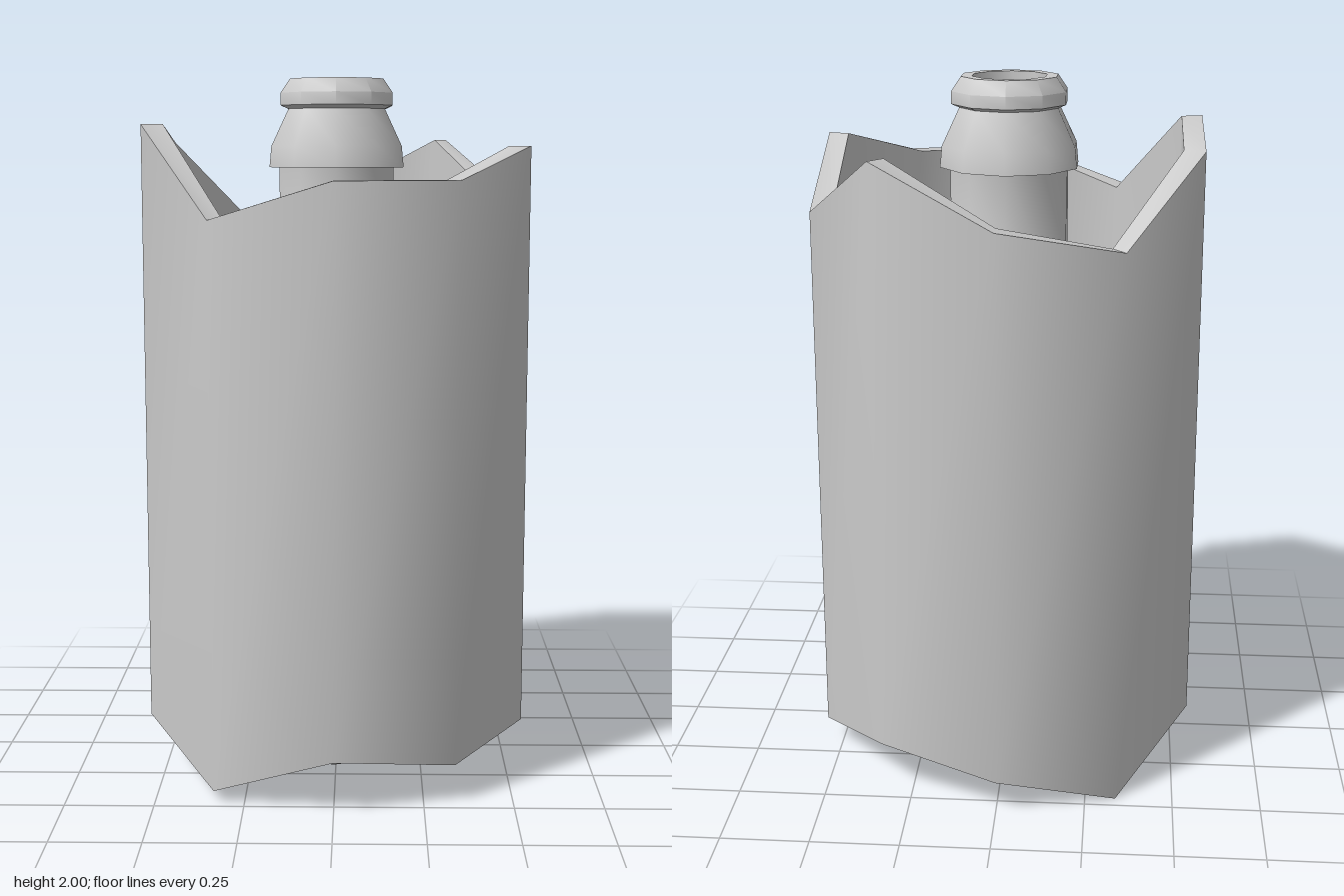
import * as THREE from 'three';
import { toCreasedNormals } from 'three/addons/utils/BufferGeometryUtils.js';

const SIDES = 10;
const CREASE = 0.75; // keeps the ten sides smooth, rims sharp

function makeMesh(name, geometry) {
  const mesh = new THREE.Mesh(
    toCreasedNormals(geometry, CREASE),
    new THREE.MeshStandardMaterial({ color: 0xcccccc, side: THREE.DoubleSide })
  );
  mesh.name = name;
  return mesh;
}

function lathe(name, profile) {
  const points = profile.map(([r, y]) => new THREE.Vector2(r, y));
  return makeMesh(name, new THREE.LatheGeometry(points, SIDES));
}

// Thick ten-sided sleeve with torn upper and lower edges
function tornSleeve() {
  const top = [1.72, 1.72, 1.81, 1.64, 1.83, 1.67, 1.6, 1.82, 1.87, 1.615];
  const bottom = [0.155, 0.11, 0.145, 0.075, 0.15, 0.1, 0, 0.155, 0.155, 0.03];
  const rings = [[0.573, bottom], [0.573, top], [0.51, top], [0.51, bottom]];
  const positions = [];
  const index = [];
  for (const [radius, heights] of rings) {
    for (let i = 0; i < SIDES; i++) {
      const a = (i / SIDES) * Math.PI * 2;
      positions.push(radius * Math.sin(a), heights[i], radius * Math.cos(a));
    }
  }
  for (let ring = 0; ring < 4; ring++) {
    const next = (ring + 1) % 4;
    for (let i = 0; i < SIDES; i++) {
      const j = (i + 1) % SIDES;
      const a = ring * SIDES + i, b = ring * SIDES + j;
      const c = next * SIDES + j, d = next * SIDES + i;
      index.push(a, b, c, a, c, d);
    }
  }
  const geometry = new THREE.BufferGeometry();
  geometry.setAttribute('position', new THREE.Float32BufferAttribute(positions, 3));
  geometry.setIndex(index);
  return makeMesh('tornSleeve', geometry);
}

export function createModel() {
  const group = new THREE.Group();
  group.name = 'wrappedBottle';

  // Body, sloping shoulder and neck
  group.add(lathe('bottleBody', [
    [0, 0.135], [0.53, 0.135], [0.555, 0.155], [0.555, 0.95], [0.51, 1.1],
    [0.42, 1.22], [0.28, 1.34], [0.2, 1.42], [0.172, 1.5], [0.172, 1.76],
  ]));

  // Flared collar, rounded lip and hollow mouth
  group.add(lathe('collarAndMouth', [
    [0.165, 1.75], [0.202, 1.75], [0.196, 1.81], [0.145, 1.915],
    [0.168, 1.925], [0.168, 1.96], [0.14, 2], [0.108, 2],
    [0.108, 1.78], [0, 1.78],
  ]));

  group.add(tornSleeve());
  return group;
}
